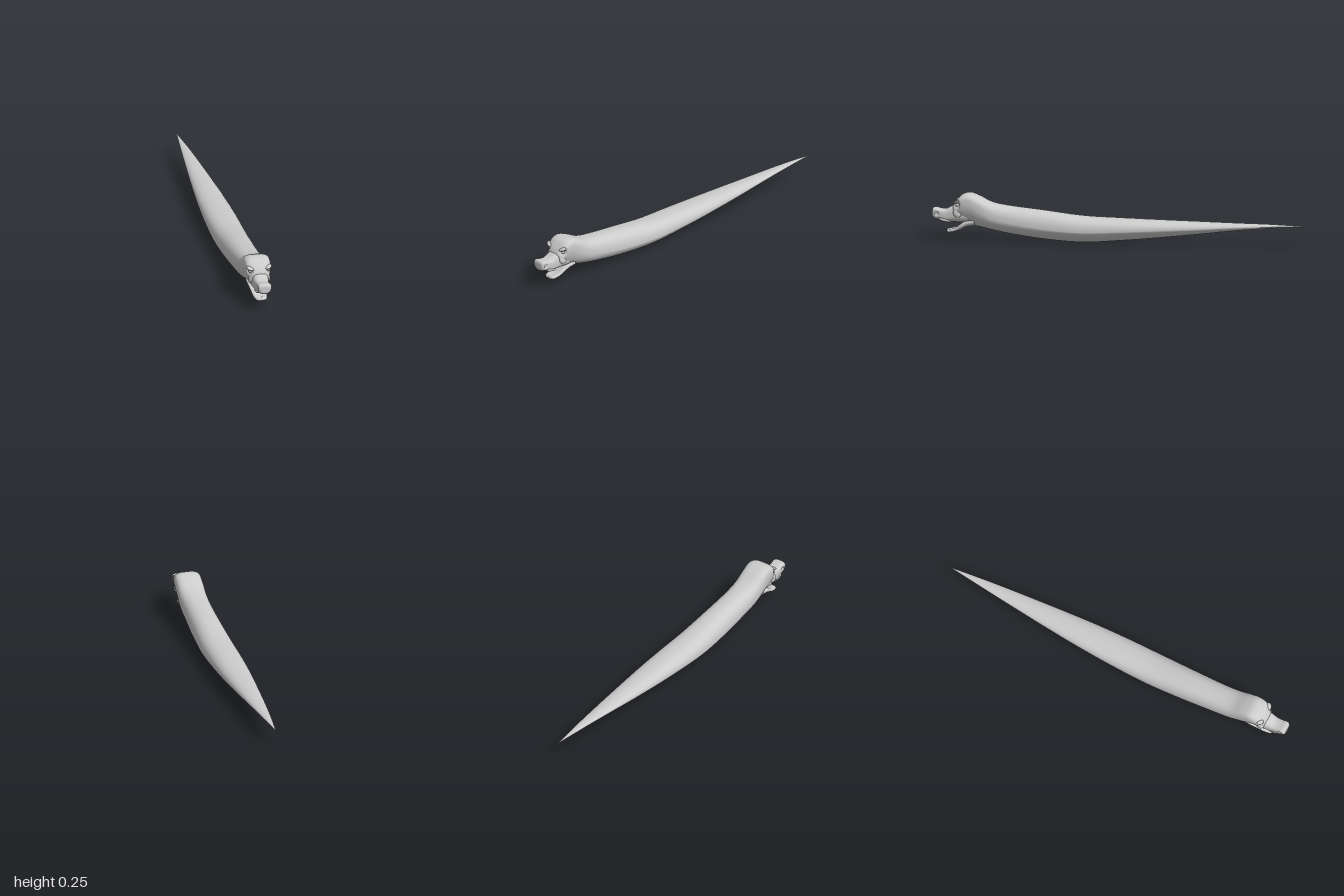
import * as THREE from 'three';

const material = new THREE.MeshStandardMaterial({ color: 0xcccccc, side: THREE.DoubleSide });

// Smooth interpolation of whole section rows
function sampleRows(rows, t) {
  const i = Math.min(Math.floor(t), rows.length - 2), f = t - i;
  const at = (k) => rows[Math.max(0, Math.min(rows.length - 1, k))];
  return rows[i].map((_, k) => {
    const [a, b, c, d] = [at(i - 1)[k], at(i)[k], at(i + 1)[k], at(i + 2)[k]];
    return b + 0.5 * f * (c - a + f * (2 * a - 5 * b + 4 * c - d + f * (3 * (b - c) + d - a)));
  });
}

// Loft along z. Row: [z, top, bottom, halfWidth, widest height 0..1, upper power, lower power]
function loft(name, rows, deform, steps = 6, sides = 48) {
  const pos = [], index = [], n = (rows.length - 1) * steps;
  const p = new THREE.Vector3();
  const add = (x, y, z) => {
    p.set(x, y, z);
    if (deform) deform(p);
    pos.push(p.x, p.y, p.z);
  };
  const pw = (v, e) => Math.sign(v) * Math.pow(Math.abs(v), 2 / e);
  const ends = [];
  for (let i = 0; i <= n; i++) {
    const [z, top, bottom, w, f, up, low] = sampleRows(rows, i / steps);
    const mid = bottom + (top - bottom) * f;
    for (let j = 0; j < sides; j++) {
      const a = (j / sides) * Math.PI * 2, s = Math.sin(a), e = s >= 0 ? up : low;
      add(w * pw(Math.cos(a), e), mid + (s >= 0 ? top - mid : mid - bottom) * pw(s, e), z);
    }
    if (i === 0 || i === n) ends.push([0, mid, z]);
  }
  for (let i = 0; i < n; i++) for (let j = 0; j < sides; j++) {
    const k = (j + 1) % sides, a = i * sides + j, b = i * sides + k;
    index.push(a, b, a + sides, b, b + sides, a + sides);
  }
  // end caps
  ends.forEach((c, e) => {
    add(...c);
    const centre = pos.length / 3 - 1, base = e * n * sides;
    for (let j = 0; j < sides; j++) {
      const a = base + j, b = base + (j + 1) % sides;
      index.push(centre, e ? a : b, e ? b : a);
    }
  });
  const g = new THREE.BufferGeometry();
  g.setAttribute('position', new THREE.Float32BufferAttribute(pos, 3));
  g.setIndex(index);
  g.computeVertexNormals();
  const mesh = new THREE.Mesh(g, material);
  mesh.name = name;
  return mesh;
}

function blob(name, x, y, z, sx, sy, sz, rx = 0, ry = 0, rz = 0) {
  const m = new THREE.Mesh(new THREE.SphereGeometry(1, 24, 16), material);
  m.name = name;
  m.position.set(x, y, z);
  m.scale.set(sx, sy, sz);
  m.rotation.set(rx, ry, rz);
  return m;
}

// Pull points near a mirrored centre by an offset
function dent(p, cx, cy, cz, r, dx, dy, dz) {
  const d = Math.hypot(Math.abs(p.x) - cx, p.y - cy, p.z - cz) / r;
  if (d >= 1) return;
  const k = (1 - d * d) ** 2, side = Math.sign(p.x);
  p.x += side * dx * k;
  p.y += dy * k;
  p.z += dz * k;
}

export function createModel() {
  const model = new THREE.Group();
  model.name = 'longTailedCreature';

  // Tail, body, neck and skull as one skin, with sunken eye sockets
  model.add(loft('body', [
    [-1.0, 0.112, 0.110, 0.001, 0.5, 2, 2],
    [-0.8, 0.120, 0.099, 0.024, 0.5, 2, 1.8],
    [-0.6, 0.123, 0.081, 0.044, 0.5, 2.1, 1.7],
    [-0.4, 0.127, 0.057, 0.062, 0.5, 2.2, 1.6],
    [-0.2, 0.131, 0.035, 0.077, 0.5, 2.3, 1.55],
    [0.0, 0.136, 0.016, 0.086, 0.48, 2.4, 1.5],
    [0.2, 0.144, 0.003, 0.088, 0.45, 2.4, 1.5],
    [0.4, 0.168, 0.015, 0.083, 0.42, 2.4, 1.6],
    [0.58, 0.188, 0.040, 0.077, 0.45, 2.5, 1.8],
    [0.68, 0.205, 0.060, 0.075, 0.5, 2.8, 2],
    [0.75, 0.237, 0.075, 0.073, 0.6, 3.2, 2],
    [0.80, 0.253, 0.084, 0.071, 0.68, 3.6, 1.8],
    [0.84, 0.244, 0.094, 0.067, 0.7, 3.4, 1.7],
    [0.865, 0.222, 0.100, 0.058, 0.7, 3, 1.8],
    [0.882, 0.200, 0.106, 0.044, 0.65, 2.6, 2],
    [0.892, 0.180, 0.120, 0.022, 0.6, 2.2, 2],
  ], (p) => dent(p, 0.054, 0.194, 0.866, 0.027, -0.009, 0, -0.016)));

  // Upper muzzle: dips behind the nose and flares at its tip, with nostril hollows
  model.add(loft('muzzle', [
    [0.80, 0.205, 0.095, 0.050, 0.4, 2.6, 2.4],
    [0.85, 0.203, 0.097, 0.050, 0.4, 2.6, 2.4],
    [0.89, 0.185, 0.099, 0.044, 0.4, 2.8, 2.6],
    [0.925, 0.168, 0.099, 0.038, 0.45, 3.2, 2.8],
    [0.955, 0.168, 0.106, 0.036, 0.55, 3.6, 2.6],
    [0.98, 0.174, 0.112, 0.037, 0.6, 3.6, 2.4],
    [0.994, 0.172, 0.118, 0.034, 0.6, 3.2, 2.2],
    [1.0, 0.162, 0.126, 0.024, 0.6, 2.6, 2],
  ], (p) => dent(p, 0.036, 0.143, 0.975, 0.018, -0.009, 0, -0.004)));

  // Lower jaw, sloping down to a broad rounded lip
  model.add(loft('lowerJaw', [
    [0.77, 0.120, 0.078, 0.052, 0.6, 2.4, 2],
    [0.81, 0.112, 0.074, 0.051, 0.6, 2.4, 2],
    [0.845, 0.091, 0.060, 0.045, 0.6, 2.6, 2.2],
    [0.875, 0.070, 0.047, 0.039, 0.55, 2.8, 2.4],
    [0.905, 0.063, 0.041, 0.033, 0.5, 2.8, 2.4],
    [0.918, 0.060, 0.042, 0.027, 0.5, 2.4, 2.4],
    [0.923, 0.054, 0.047, 0.015, 0.5, 2, 2],
  ], (p) => {
    // tongue channel
    if (p.z > 0.84 && p.z < 0.91 && p.y > 0.058) p.y -= 0.004 * Math.max(0, 1 - (p.x / 0.026) ** 2);
  }));

  for (const s of [-1, 1]) {
    const side = s > 0 ? 'left' : 'right';
    model.add(
      blob(side + 'Brow', s * 0.049, 0.211, 0.865, 0.021, 0.008, 0.014, 0.2, s * 0.5, s * 0.25),
      blob(side + 'Eye', s * 0.049, 0.194, 0.862, 0.009, 0.008, 0.009),
      blob(side + 'Cheek', s * 0.046, 0.152, 0.862, 0.012, 0.026, 0.022, 0.2, 0, s * 0.2),
      blob(side + 'Lip', s * 0.028, 0.109, 0.93, 0.011, 0.009, 0.035, -0.2),
      blob(side + 'NosePad', s * 0.017, 0.139, 0.988, 0.016, 0.017, 0.012),
    );
    // Curled rim around each nostril
    const rim = new THREE.Mesh(new THREE.TorusGeometry(0.012, 0.003, 10, 24, Math.PI * 1.3), material);
    rim.name = side + 'NostrilRim';
    rim.position.set(s * 0.022, 0.143, 0.991);
    rim.rotation.set(0, s * 0.5, s > 0 ? -0.4 : 0.1);
    model.add(rim);
  }
  return model;
}
